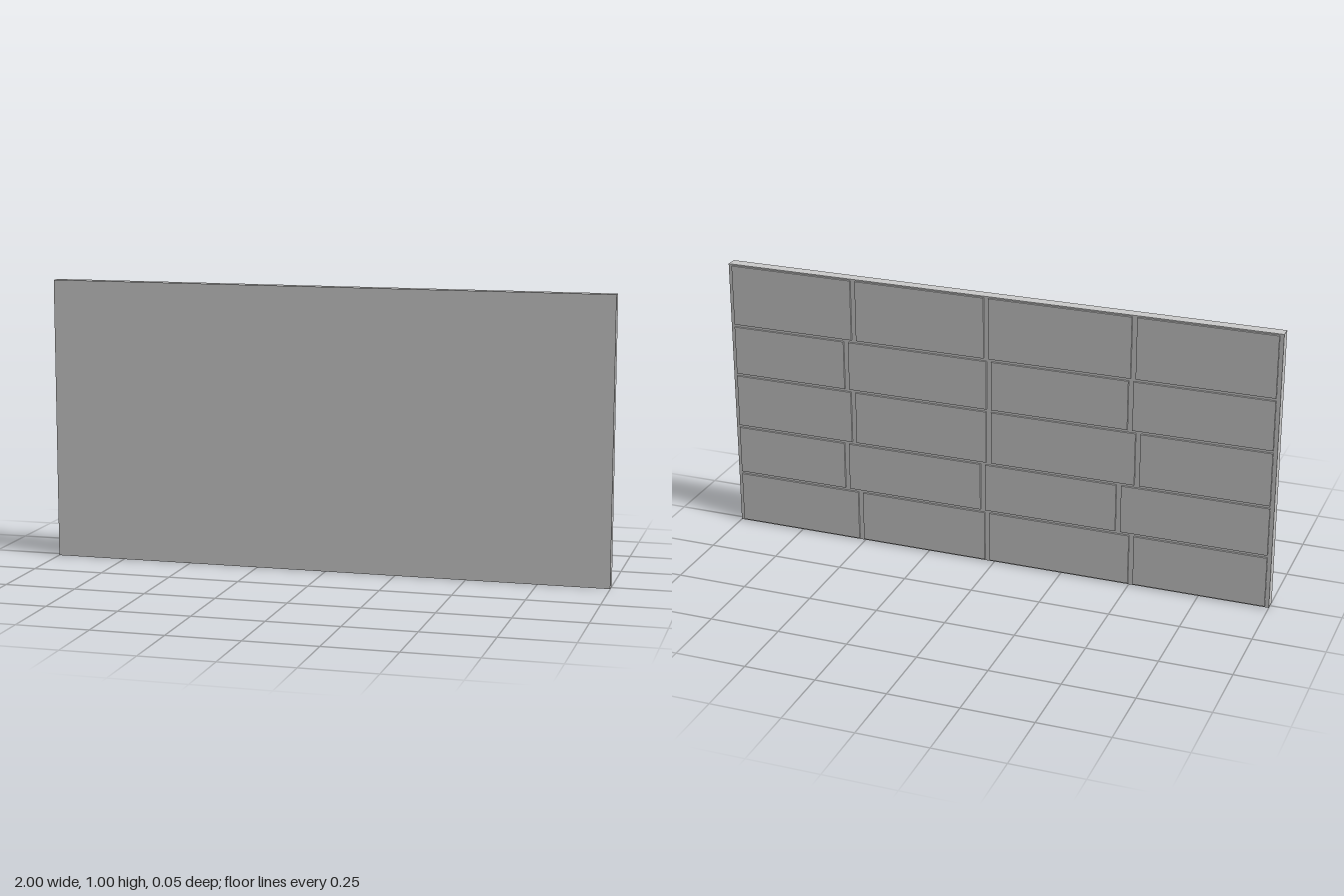
import * as THREE from 'three';

const BACK = -0.0235, FACE = -0.017, FRONT = 0.0235;
const H_GAP = 0.01, V_GAP = 0.018, END = 0.986;

// Courses from bottom to top: bottom and top edge, then vertical joint positions
const COURSES = [
  { y: [0.006, 0.19], joints: [-0.506, 0.026, 0.512] },
  { y: [0.2, 0.375], joints: [-0.456, 0.042, 0.562] },
  { y: [0.385, 0.577], joints: [-0.52, 0.02, 0.531] },
  { y: [0.587, 0.765], joints: [-0.49, 0.019, 0.554] },
  { y: [0.775, 0.995], joints: [-0.497, 0.029, 0.523] },
];

function boxBetween(name, x0, x1, y0, y1, z0, z1, material) {
  const mesh = new THREE.Mesh(new THREE.BoxGeometry(x1 - x0, y1 - y0, z1 - z0), material);
  mesh.position.set((x0 + x1) / 2, (y0 + y1) / 2, (z0 + z1) / 2);
  mesh.name = name;
  return mesh;
}

export function createModel() {
  const group = new THREE.Group();
  group.name = 'brickPanel';
  const material = new THREE.MeshStandardMaterial({ color: 0xcccccc });

  // Flat backing slab
  group.add(boxBetween('slab', -1, 1, 0, 1, FACE, FRONT, material));

  // Raised bricks on the back, sunk slightly into the slab
  const bricks = new THREE.Group();
  bricks.name = 'bricks';
  for (const { y, joints } of COURSES) {
    const edges = [-END - V_GAP / 2, ...joints, END + V_GAP / 2];
    for (let i = 0; i < edges.length - 1; i++) {
      bricks.add(boxBetween('brick', edges[i] + V_GAP / 2, edges[i + 1] - V_GAP / 2,
        y[0], y[1], BACK, FACE + 0.004, material));
    }
  }
  group.add(bricks);
  return group;
}
